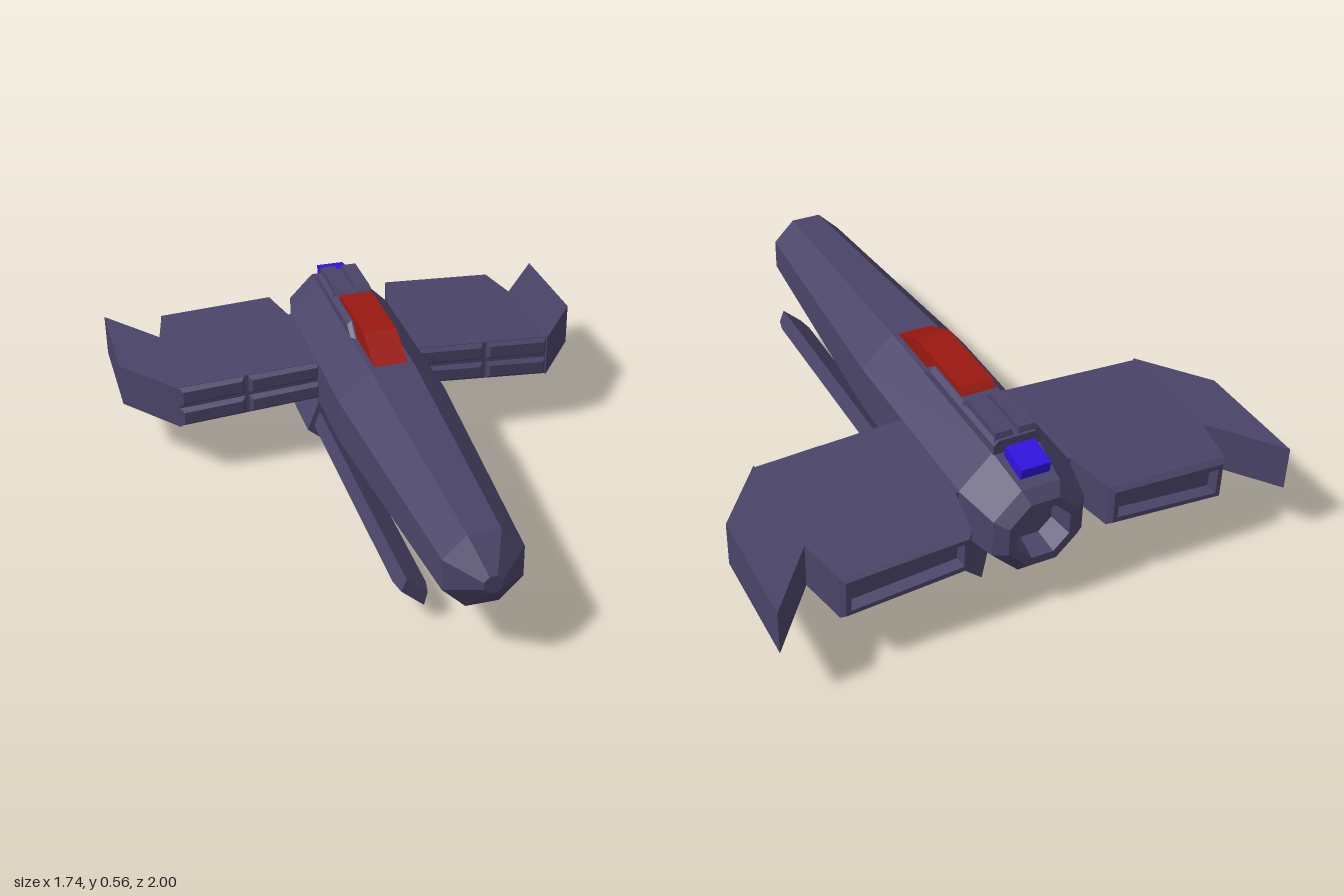
import * as THREE from 'three';

const paint = (color) => new THREE.MeshStandardMaterial({ color, flatShading: true });

// Solid through cross-sections [z, points]; points run anticlockwise seen from +z, z goes front to back.
function loft(sections) {
  const pos = [];
  const at = (i, k) => {
    const [z, p] = sections[i];
    const q = p[k % p.length];
    return [q[0], q[1], z];
  };
  const n = sections[0][1].length, last = sections.length - 1;
  for (let i = 0; i < last; i++) {
    for (let k = 0; k < n; k++) {
      const a = at(i, k), b = at(i, k + 1), c = at(i + 1, k + 1), d = at(i + 1, k);
      pos.push(...a, ...d, ...c, ...a, ...c, ...b);
    }
  }
  for (let k = 1; k < n - 1; k++) {
    pos.push(...at(0, 0), ...at(0, k), ...at(0, k + 1));
    pos.push(...at(last, 0), ...at(last, k + 1), ...at(last, k));
  }
  const g = new THREE.BufferGeometry();
  g.setAttribute('position', new THREE.Float32BufferAttribute(pos, 3));
  g.computeVertexNormals();
  return g;
}

// Octagon with flat top and sides; r is the distance to a flat
function octagon(r) {
  const R = r / Math.cos(Math.PI / 8);
  return Array.from({ length: 8 }, (_, k) => {
    const a = (k + 0.5) * Math.PI / 4;
    return [R * Math.cos(a), 0.305 + R * Math.sin(a)];
  });
}

// Mirror a cross-section to side s, keeping its winding
const side = (pts, s) => (s > 0 ? pts : pts.map(([x, y]) => [-x, y]).reverse());
const rect = (x0, x1, y0, y1) => [[x0, y0], [x1, y0], [x1, y1], [x0, y1]];

// Wing height at x, f = 0 on the underside and 1 on top; it droops up to the tip
function wingY(x, f) {
  const t = Math.min(1, (Math.abs(x) - 0.2) / 0.495);
  return THREE.MathUtils.lerp(0.235 - 0.035 * t, 0.38 - 0.025 * t, f);
}
const wingQuad = (x0, x1, f0, f1, d, s) => side([
  [x0 + d, wingY(x0, f0) + d], [x1 - d, wingY(x1, f0) + d],
  [x1 - d, wingY(x1, f1) - d], [x0 + d, wingY(x0, f1) - d],
], s);

// Slab from a plan outline of [x, z], following the wing's droop
function wingSlab(plan, s) {
  const shape = new THREE.Shape(plan.map(([x, z]) => new THREE.Vector2(x * s, -z)));
  const g = new THREE.ExtrudeGeometry(shape, { depth: 1, bevelEnabled: false }).rotateX(-Math.PI / 2);
  const p = g.attributes.position;
  for (let i = 0; i < p.count; i++) p.setY(i, wingY(p.getX(i), p.getY(i)));
  g.computeVertexNormals();
  return g;
}

export function createModel() {
  const model = new THREE.Group();
  model.name = 'spacecraft';
  const hull = paint(0x4a4468), red = paint(0x9a1810), blue = paint(0x3311e0);
  const add = (name, geometry, material = hull, parent = model) => {
    const mesh = new THREE.Mesh(geometry, material);
    mesh.name = name;
    parent.add(mesh);
    return mesh;
  };

  // Octagonal body with a pointed nose and a hollow exhaust at the back
  add('fuselage', loft([
    [1, 0.03], [0.91, 0.13], [-0.05, 0.19], [-0.77, 0.19],
    [-0.93, 0.155], [-0.965, 0.118], [-0.965, 0.09], [-0.88, 0.075],
  ].map(([z, r]) => [z, octagon(r)])));

  // Raised spine with a sloped front and chamfered top edges
  const spine = (w, top) => [[w, 0.47], [w, top - 0.015], [w - 0.015, top],
    [0.015 - w, top], [-w, top - 0.015], [-w, 0.47]];
  add('spine', loft([[-0.28, spine(0.08, 0.495)], [-0.34, spine(0.08, 0.54)], [-0.78, spine(0.08, 0.54)]]));

  // Cockpit canopy
  add('canopy', loft([
    [-0.06, rect(-0.06, 0.06, 0.485, 0.495)], [-0.2, rect(-0.06, 0.06, 0.485, 0.56)],
    [-0.51, rect(-0.06, 0.06, 0.485, 0.56)], [-0.53, rect(-0.06, 0.06, 0.485, 0.54)],
  ]), red);

  // Tilted tail light
  const light = add('tailLight', new THREE.BoxGeometry(0.1, 0.04, 0.105), blue);
  light.position.set(0, 0.499, -0.845);
  light.rotation.x = -0.18;

  for (const s of [1, -1]) {
    // Ridges on the spine
    add('spineRidge', loft([
      [-0.56, rect(0.008, 0.074, 0.53, 0.541)], [-0.575, rect(0.013, 0.067, 0.53, 0.56)],
      [-0.765, rect(0.013, 0.067, 0.53, 0.56)], [-0.77, rect(0.008, 0.074, 0.53, 0.541)],
    ].map(([z, p]) => [z, side(p, s)])));

    const wing = new THREE.Group();
    wing.name = s > 0 ? 'leftWing' : 'rightWing';
    model.add(wing);
    add('wingPanel', wingSlab([[0.15, -0.36], [0.695, -0.36], [0.695, -0.77],
      [0.668, -0.9], [0.227, -0.9], [0.2, -0.77], [0.15, -0.77]], s), hull, wing);
    add('wingTip', wingSlab([[0.695, -0.35], [0.87, -0.58], [0.87, -1], [0.695, -0.77]], s), hull, wing);

    // Bevelled blocks along the leading edge, two by two
    for (const [x0, x1] of [[0.18, 0.445], [0.455, 0.695]]) {
      for (const [f0, f1] of [[0, 0.47], [0.53, 1]]) {
        add('leadingEdgeBlock', loft([
          [-0.343, wingQuad(x0, x1, f0, f1, 0.014, s)], [-0.362, wingQuad(x0, x1, f0, f1, 0, s)],
        ]), hull, wing);
      }
    }

    // Trailing edge frame with a recessed panel
    add('trailingEdge', loft([
      [-0.9, wingQuad(0.227, 0.668, 0, 1, 0, s)], [-0.943, wingQuad(0.235, 0.66, 0, 1, 0, s)],
      [-0.96, wingQuad(0.235, 0.66, 0, 1, 0.014, s)], [-0.96, wingQuad(0.235, 0.66, 0, 1, 0.03, s)],
      [-0.92, wingQuad(0.235, 0.66, 0, 1, 0.034, s)],
    ]), hull, wing);

    // Lower fin and the long slanted bar running forward from it
    const fin = side([[0.1, 0], [0.235, 0.115], [0.19, 0.225], [0.08, 0.115]], s);
    add('lowerFin', loft([[-0.345, fin], [-0.77, fin]]));
    const bar = side([[0.115, 0.042], [0.21, 0.127], [0.188, 0.185], [0.1, 0.103]], s);
    const tip = bar.map(([x, y]) => [0.153 * s + (x - 0.153 * s) * 0.78, 0.114 + (y - 0.114) * 0.78]);
    add('lowerBar', loft([[0.72, tip], [0.665, bar], [-0.36, bar]]));
  }
  return model;
}
